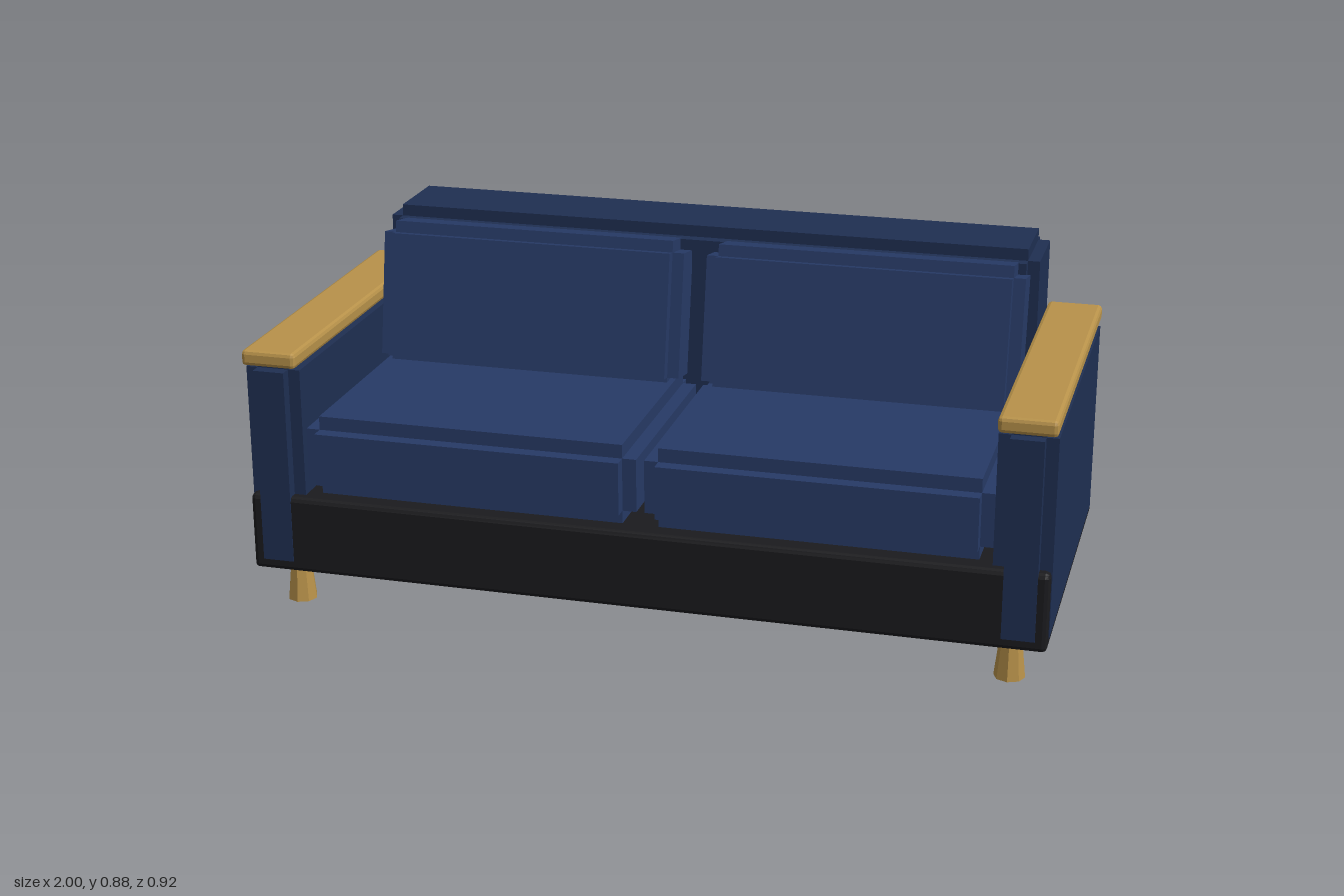
import * as THREE from 'three';
import { RoundedBoxGeometry } from 'three/addons/geometries/RoundedBoxGeometry.js';

const paint = (color) => new THREE.MeshStandardMaterial({ color, flatShading: true });
const fabric = paint(0x1f2f52);
const cushionFabric = paint(0x273a66);
const plinthBlack = paint(0x1b1b1e);
const wood = paint(0xb8924a);

// Upholstered block with notched edges: three boxes, each reaching full size on one axis
function paddedBlock(name, [w, h, d], step, material) {
  const group = new THREE.Group();
  group.name = name;
  const s = 2 * step;
  const parts = [
    ['sides', w, h - s, d - s],
    ['topAndBottom', w - s, h, d - s],
    ['frontAndBack', w - s, h - s, d],
  ];
  for (const [label, x, y, z] of parts) {
    const mesh = new THREE.Mesh(new THREE.BoxGeometry(x, y, z), material);
    mesh.name = name + '_' + label;
    group.add(mesh);
  }
  return group;
}

// Hard block with a narrow bevel
function beveledBlock(name, w, h, d, bevel, material) {
  const mesh = new THREE.Mesh(new RoundedBoxGeometry(w, h, d, 1, bevel), material);
  mesh.name = name;
  return mesh;
}

export function createModel() {
  const sofa = new THREE.Group();
  sofa.name = 'sofa';
  const place = (object, x, y, z) => {
    object.position.set(x, y, z);
    sofa.add(object);
    return object;
  };

  // Base and backrest
  place(beveledBlock('base', 1.996, 0.2, 0.916, 0.012, plinthBlack), 0, 0.202, 0);
  place(paddedBlock('backrest', [1.72, 0.58, 0.26], 0.03, fabric), 0, 0.59, -0.328);

  const tilt = THREE.MathUtils.degToRad(10);
  for (const [side, sx] of [['left', 1], ['right', -1]]) {
    // Arm with its wooden top
    place(paddedBlock(side + 'Arm', [0.14, 0.56, 0.92], 0.03, fabric), sx * 0.93, 0.38, 0);
    place(beveledBlock(side + 'ArmTop', 0.14, 0.04, 0.92, 0.01, wood), sx * 0.93, 0.66, 0);

    // Seat cushion, and the back cushion leaning on the backrest
    place(paddedBlock(side + 'SeatCushion', [0.85, 0.205, 0.64], 0.035, cushionFabric),
      sx * 0.435, 0.4025, 0.12);
    const up = 0.682, out = -0.0175;
    const back = place(paddedBlock(side + 'BackCushion', [0.81, 0.383, 0.15], 0.03, cushionFabric),
      sx * 0.435,
      up * Math.cos(tilt) + out * Math.sin(tilt),
      out * Math.cos(tilt) - up * Math.sin(tilt));
    back.rotation.x = -tilt;

    // Legs, wider at the floor
    for (const [end, sz] of [['Front', 1], ['Back', -1]]) {
      const leg = new THREE.Mesh(new THREE.CylinderGeometry(0.026, 0.038, 0.11, 8), wood);
      leg.name = side + end + 'Leg';
      place(leg, sx * 0.905, 0.055, sz * 0.38);
    }
  }
  return sofa;
}
